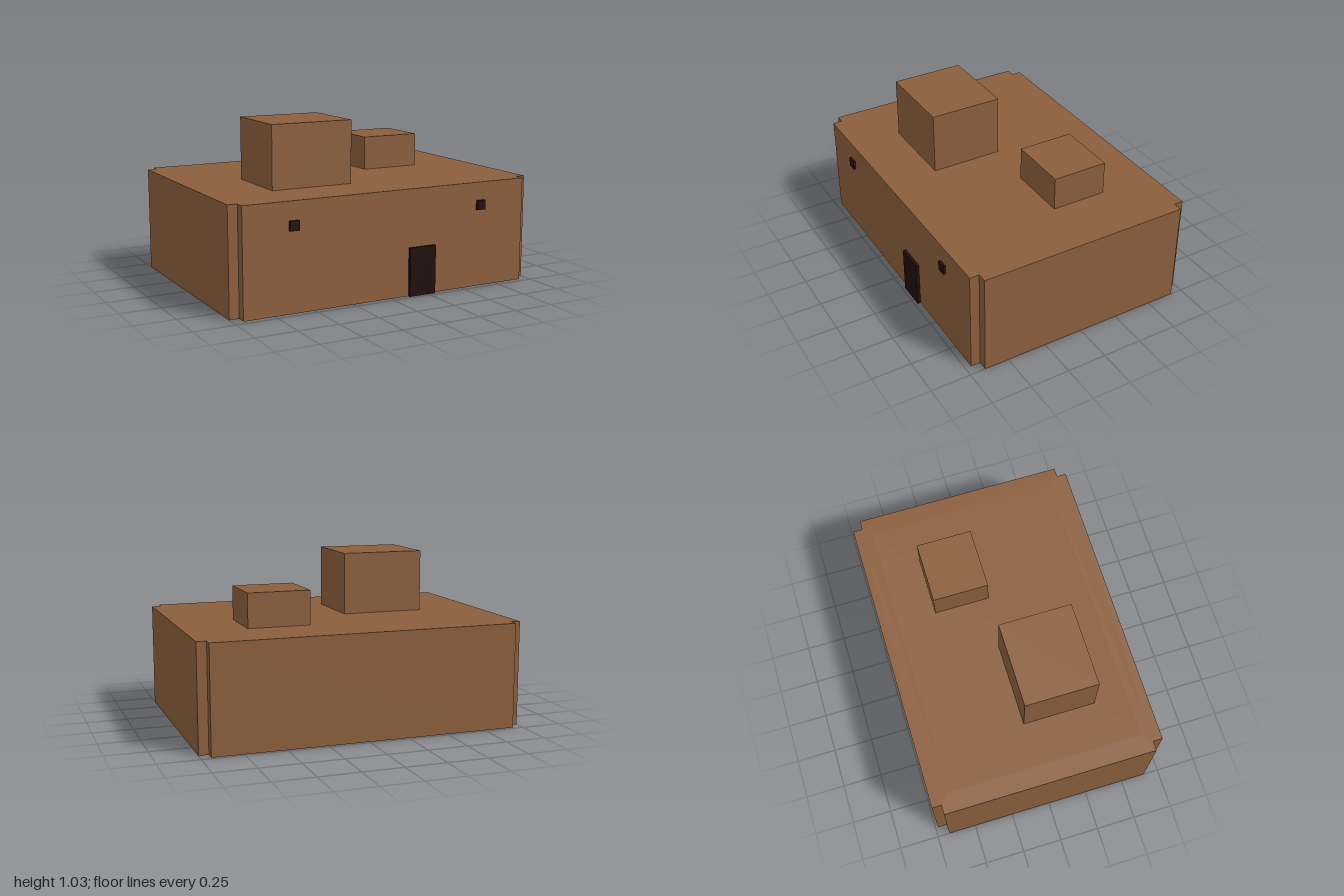
import * as THREE from 'three';

const clay = new THREE.MeshStandardMaterial({ color: 0x8b5e3c });
clay.name = 'clay brown';
const dark = new THREE.MeshStandardMaterial({ color: 0x200d0c });
dark.name = 'dark opening';

export function createModel() {
  const house = new THREE.Group();
  house.name = 'adobeHouse';

  // Box given by its lower and upper limits on each axis
  const block = (name, material, [x0, x1], [y0, y1], [z0, z1]) => {
    const mesh = new THREE.Mesh(new THREE.BoxGeometry(x1 - x0, y1 - y0, z1 - z0), material);
    mesh.position.set((x0 + x1) / 2, (y0 + y1) / 2, (z0 + z1) / 2);
    mesh.name = name;
    house.add(mesh);
  };

  const front = 0.713, back = -0.733, notch = 0.059, wall = 0.118, height = 0.646;
  const midZ = (front + back) / 2, halfZ = (front - back) / 2;

  // Wall ring: rectangular plan with notched corners and an open room inside
  const a = 1 - notch, b = halfZ - notch, ix = 1 - wall, iz = halfZ - wall;
  const points = (list) => list.map(([x, y]) => new THREE.Vector2(x, y));
  const plan = new THREE.Shape(points([
    [-a, -halfZ], [a, -halfZ], [a, -b], [1, -b], [1, b], [a, b],
    [a, halfZ], [-a, halfZ], [-a, b], [-1, b], [-1, -b], [-a, -b],
  ]));
  plan.holes.push(new THREE.Path(points([[-ix, -iz], [-ix, iz], [ix, iz], [ix, -iz]])));
  const ring = new THREE.ExtrudeGeometry(plan, { depth: height, bevelEnabled: false });
  ring.rotateX(-Math.PI / 2).translate(0, 0, midZ);
  const walls = new THREE.Mesh(ring, clay);
  walls.name = 'walls';
  house.add(walls);

  // Flat roof filling the top of the ring, with two rooms standing on it
  block('roof', clay, [-ix, ix], [0.588, height], [back + wall, front - wall]);
  block('tallRoofRoom', clay, [-0.61, -0.09], [height, 1.03], [-0.062, 0.39]);
  block('lowRoofRoom', clay, [0.242, 0.626], [height, 0.856], [-0.377, -0.029]);

  // Door and windows pass through the front wall and stand slightly proud of it
  const through = (proud) => [front - wall - proud, front + proud];
  block('door', dark, [0.12, 0.297], [0, 0.295], through(0.02));
  for (const [name, x] of [['rightWindow', -0.631], ['leftWindow', 0.626]]) {
    block(name, dark, [x - 0.029, x + 0.029], [0.477, 0.535], through(0.016));
  }

  return house;
}
